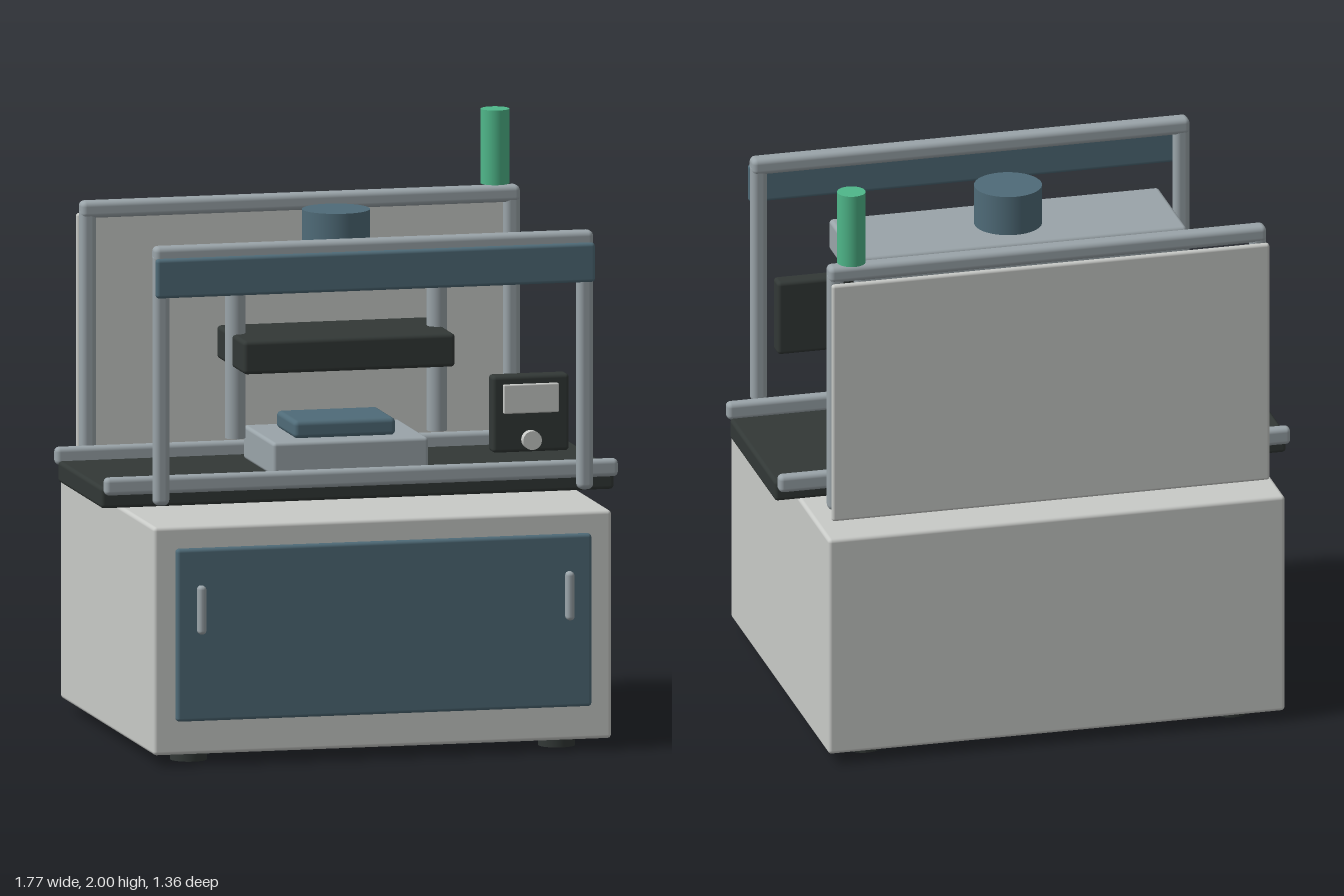
import * as THREE from 'three';
import { RoundedBoxGeometry } from 'three/addons/geometries/RoundedBoxGeometry.js';

export function createModel() {
  const model = new THREE.Group();
  model.name = 'pressStation';

  const mat = (name, color) => {
    const m = new THREE.MeshStandardMaterial({ color });
    m.name = name;
    return m;
  };
  const paint = mat('light grey paint', 0xc8cac7);
  const steel = mat('steel', 0x9aa4a9);
  const blue = mat('slate blue', 0x4f6b78);
  const dark = mat('dark rubber', 0x323836);
  const green = mat('signal green', 0x4fb78a);

  const add = (name, geometry, material, x, y, z, parent = model) => {
    const mesh = new THREE.Mesh(geometry, material);
    mesh.name = name;
    mesh.position.set(x, y, z);
    parent.add(mesh);
    return mesh;
  };
  // Rounded box given by its extents on each axis
  const box = (name, material, [x0, x1], [y0, y1], [z0, z1], radius = 0.012, parent = model) =>
    add(name, new RoundedBoxGeometry(x1 - x0, y1 - y0, z1 - z0, 3, radius), material,
      (x0 + x1) / 2, (y0 + y1) / 2, (z0 + z1) / 2, parent);
  // Upright cylinder from y0 to y1
  const rod = (name, material, r, x, y0, y1, z) =>
    add(name, new THREE.CylinderGeometry(r, r, y1 - y0, 40), material, x, (y0 + y1) / 2, z);

  const zMid = -0.027;

  // Cabinet, feet, door and handles
  box('cabinet', paint, [-0.79, 0.79], [0.037, 0.81], [-0.675, 0.62], 0.013);
  for (const x of [-0.635, 0.635]) {
    for (const z of [0.48, -0.535]) rod('foot', dark, 0.062, x, 0, 0.05, z);
    box('doorHandle', steel, [x - 0.014, x + 0.014], [0.45, 0.615], [0.642, 0.682], 0.013);
  }
  box('door', blue, [-0.716, 0.716], [0.152, 0.737], [0.612, 0.645], 0.012);

  // Conveyor belt with its side rails
  box('conveyorBelt', dark, [-0.885, 0.885], [0.825, 0.897], [-0.328, 0.274], 0.013);
  for (const z of [zMid - 0.342, zMid + 0.342]) {
    box('conveyorRail', steel, [-0.885, 0.885], [0.877, 0.937], [z - 0.022, z + 0.022], 0.016);
  }

  // Fixture with the workpiece on it
  box('fixture', steel, [-0.268, 0.268], [0.895, 1.01], [-0.235, 0.181], 0.012);
  box('workpiece', blue, [-0.175, 0.175], [1.008, 1.068], [-0.155, 0.101], 0.016);

  // Press: columns, ram, crown and actuator
  for (const x of [-0.348, 0.348]) rod('pressColumn', steel, 0.034, x, 1.0, 1.55, zMid);
  box('pressRam', dark, [-0.365, 0.365], [1.242, 1.355], [-0.217, 0.163], 0.014);
  box('pressCrown', steel, [-0.571, 0.571], [1.515, 1.626], [-0.217, 0.163], 0.014);
  rod('actuator', blue, 0.114, 0, 1.6, 1.763, zMid);

  // Guard frames, front and back
  for (const [name, z] of [['frontFrame', 0.481], ['backFrame', -0.534]]) {
    const frame = new THREE.Group();
    frame.name = name;
    model.add(frame);
    for (const x of [-0.731, 0.731]) {
      box('post', steel, [x - 0.027, x + 0.027], [0.863, 1.72], [z - 0.027, z + 0.027], 0.02, frame);
    }
    box('topBar', steel, [-0.757, 0.757], [1.684, 1.741], [z - 0.03, z + 0.03], 0.018, frame);
  }
  box('frontFascia', blue, [-0.757, 0.757], [1.57, 1.703], [0.499, 0.53], 0.012);
  box('rearPanel', paint, [-0.757, 0.757], [0.842, 1.692], [-0.598, -0.575], 0.01);

  // Signal light
  rod('signalLight', green, 0.048, 0.675, 1.747, 2.0, -0.535);

  // Control box with screen and knob
  box('controlBox', dark, [0.392, 0.657], [1.01, 1.27], [0.505, 0.57], 0.013);
  box('screen', paint, [0.427, 0.618], [1.143, 1.242], [0.564, 0.583], 0.005);
  const knob = add('knob', new THREE.CylinderGeometry(0.032, 0.032, 0.04, 32), paint, 0.522, 1.053, 0.581);
  knob.rotation.x = Math.PI / 2;

  return model;
}
